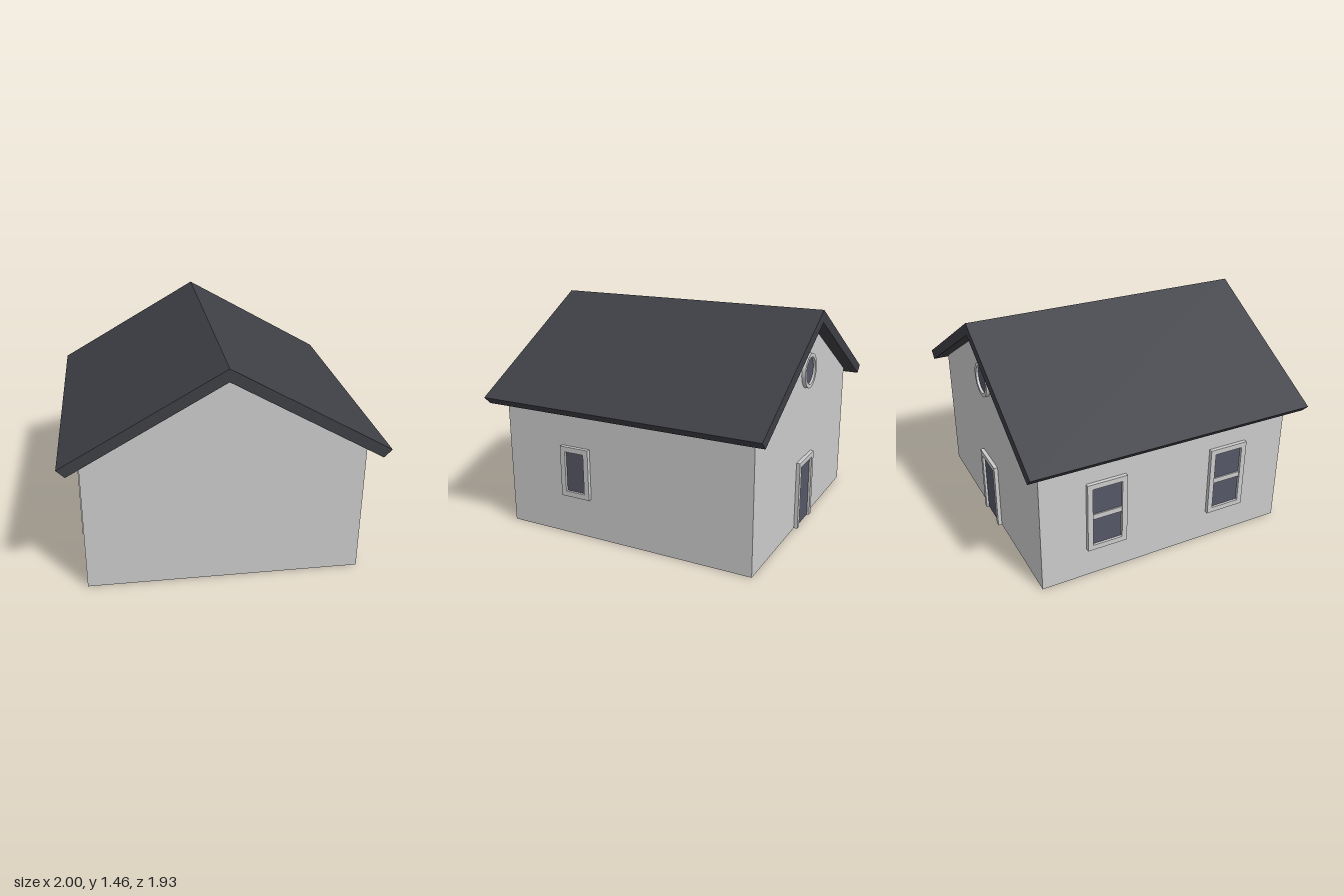
import * as THREE from 'three';

const WALL = 0.875, DEPTH = 0.025, TRIM = 0.035;

const material = (color) => new THREE.MeshStandardMaterial({ color });
const wallMat = material(0xcccccc);
const roofMat = material(0x3e3f45);
const trimMat = material(0xf0f0f3);
const glassMat = material(0x555766);

function mesh(name, geometry, mat) {
  const m = new THREE.Mesh(geometry, mat);
  m.name = name;
  return m;
}

function extrude(points, depth) {
  const shape = new THREE.Shape(points.map(([x, y]) => new THREE.Vector2(x, y)));
  return new THREE.ExtrudeGeometry(shape, { depth, bevelEnabled: false });
}

function box(name, w, h, d, x, y, z, mat) {
  const m = mesh(name, new THREE.BoxGeometry(w, h, d), mat);
  m.position.set(x, y, z);
  return m;
}

// Framed window centred on its own origin, facing +z
function windowUnit(name, w, h, withRail) {
  const g = new THREE.Group();
  g.name = name;
  const frame = new THREE.Shape();
  frame.moveTo(-w / 2, -h / 2).lineTo(w / 2, -h / 2).lineTo(w / 2, h / 2).lineTo(-w / 2, h / 2).closePath();
  const a = w / 2 - TRIM, b = h / 2 - TRIM;
  const hole = new THREE.Path();
  hole.moveTo(-a, -b).lineTo(-a, b).lineTo(a, b).lineTo(a, -b).closePath();
  frame.holes.push(hole);
  g.add(mesh('windowFrame', new THREE.ExtrudeGeometry(frame, { depth: DEPTH, bevelEnabled: false }), trimMat));
  g.add(box('windowGlass', 2 * a, 2 * b, 0.01, 0, 0, 0.004, glassMat));
  if (withRail) g.add(box('windowRail', 2 * a, 0.035, 0.018, 0, 0, 0.009, trimMat));
  return g;
}

// Door with a three-sided frame, standing on y = 0, facing +z
function doorUnit(w, h) {
  const g = new THREE.Group();
  g.name = 'door';
  const a = w / 2, b = a - TRIM;
  g.add(mesh('doorFrame', extrude([[-a, 0], [-b, 0], [-b, h - TRIM], [b, h - TRIM],
    [b, 0], [a, 0], [a, h], [-a, h]], DEPTH), trimMat));
  g.add(box('doorPanel', 2 * b, h - TRIM, 0.01, 0, (h - TRIM) / 2, 0.004, glassMat));
  return g;
}

// Round gable window facing +z
function roundWindow(r) {
  const g = new THREE.Group();
  g.name = 'roundWindow';
  const ring = new THREE.Shape().absarc(0, 0, r, 0, Math.PI * 2);
  ring.holes.push(new THREE.Path().absarc(0, 0, r - 0.025, 0, Math.PI * 2, true));
  g.add(mesh('roundFrame', new THREE.ExtrudeGeometry(ring,
    { depth: DEPTH, bevelEnabled: false, curveSegments: 32 }), trimMat));
  const glass = mesh('roundGlass', new THREE.CylinderGeometry(r - 0.024, r - 0.024, 0.01, 32), glassMat);
  glass.rotation.x = Math.PI / 2;
  glass.position.z = 0.004;
  g.add(glass);
  return g;
}

export function createModel() {
  const house = new THREE.Group();
  house.name = 'house';

  // Gabled body
  const walls = mesh('walls', extrude([[-WALL, 0], [WALL, 0], [WALL, 0.883], [0, 1.38], [-WALL, 0.883]], 2 * WALL), wallMat);
  walls.position.z = -WALL;
  house.add(walls);

  // Overhanging roof
  const roof = mesh('roof', extrude([[-1, 0.89], [-0.95, 0.84], [0, 1.38], [0.95, 0.84], [1, 0.89], [0, 1.46]], 1.93), roofMat);
  roof.position.z = -0.965;
  house.add(roof);

  // Small window on the left wall
  const small = windowUnit('smallWindow', 0.21, 0.34, false);
  small.position.set(WALL, 0.44, 0.35);
  small.rotation.y = Math.PI / 2;
  house.add(small);

  // Pair of sash windows on the right wall
  for (const z of [-0.4375, 0.4375]) {
    const sash = windowUnit('sashWindow', 0.27, 0.48, true);
    sash.position.set(-WALL, 0.44, z);
    sash.rotation.y = -Math.PI / 2;
    house.add(sash);
  }

  // Door and round window on the back gable
  const door = doorUnit(0.28, 0.465);
  const round = roundWindow(0.115);
  round.position.y = 1.06;
  for (const part of [door, round]) {
    part.position.z = -WALL;
    part.rotation.y = Math.PI;
    house.add(part);
  }
  return house;
}
